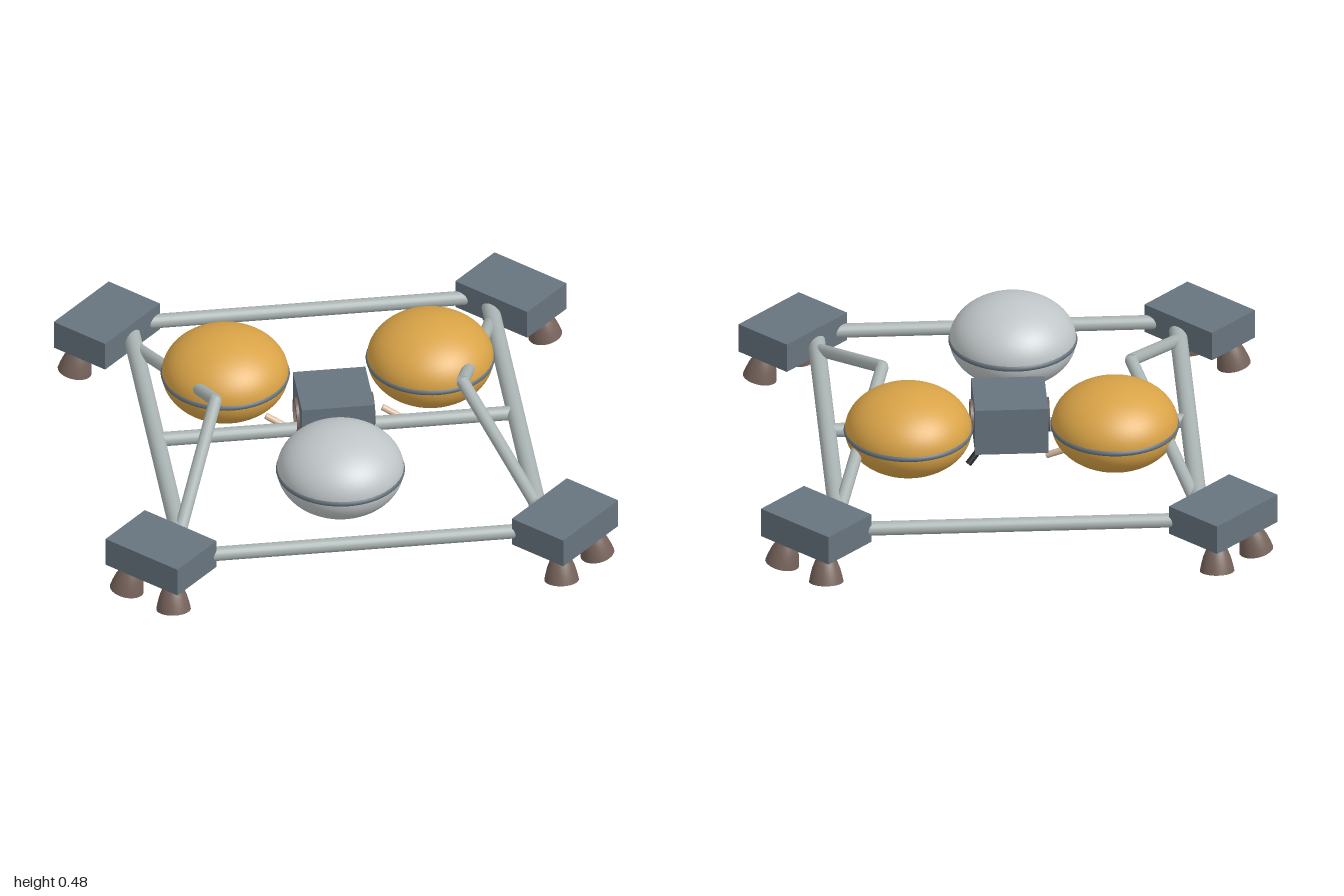
import * as THREE from 'three';

const mat = (name, color, side = THREE.FrontSide) => {
  const m = new THREE.MeshStandardMaterial({ color, side });
  m.name = name;
  return m;
};
const UP = new THREE.Vector3(0, 1, 0);

export function createModel() {
  const model = new THREE.Group();
  model.name = 'landerFrame';
  const slate = mat('slate', 0x67747e);
  const tube = mat('tubeGrey', 0xaab3b3);
  const silver = mat('silver', 0xc0c6c8);
  const gold = mat('gold', 0xd9a347);
  const brown = mat('nozzleBrown', 0x75625a, THREE.DoubleSide);
  const beige = mat('beige', 0xd8bca2);
  const black = mat('black', 0x26282a);

  const add = (name, geo, material, x = 0, y = 0, z = 0, parent = model) => {
    const mesh = new THREE.Mesh(geo, material);
    mesh.name = name;
    mesh.position.set(x, y, z);
    parent.add(mesh);
    return mesh;
  };
  // Round bar between two points
  const bar = (name, a, b, r, material) => {
    const p = new THREE.Vector3(...a), q = new THREE.Vector3(...b);
    const d = q.clone().sub(p);
    const mesh = add(name, new THREE.CylinderGeometry(r, r, d.length(), 20), material);
    mesh.position.copy(p).add(q).multiplyScalar(0.5);
    mesh.quaternion.setFromUnitVectors(UP, d.normalize());
  };
  // Engine bell: mouth at its origin, throat along the given axis
  const bellGeo = new THREE.LatheGeometry(
    [[0.067, 0], [0.062, 0.025], [0.054, 0.055], [0.042, 0.085], [0.03, 0.105], [0.026, 0.13]]
      .map(p => new THREE.Vector2(...p)), 28);
  const bell = (name, pos, axis) => {
    const mesh = add(name, bellGeo, brown, ...pos);
    mesh.quaternion.setFromUnitVectors(UP, new THREE.Vector3(...axis).normalize());
  };

  // Corner housings, each with two bells tilted outwards
  for (const sx of [-1, 1]) {
    for (const sz of [-1, 1]) {
      const box = add('cornerHousing', new THREE.BoxGeometry(0.35, 0.12, 0.25), slate,
        sx * 0.788, 0.19, sz * 0.788);
      box.rotation.y = sx * sz * Math.PI / 4;
      bell('sideNozzle', [sx * 0.918, 0.013, sz * 0.757], [-sx * 0.19, 1, 0]);
      bell('endNozzle', [sx * 0.757, 0.013, sz * 0.918], [0, 1, -sz * 0.19]);
    }
  }

  // Rectangular tube frame with a cross member
  for (const s of [-1, 1]) {
    bar('sideRail', [s * 0.7, 0.18, -0.75], [s * 0.7, 0.18, 0.75], 0.034, tube);
    bar('endRail', [-0.68, 0.18, s * 0.808], [0.68, 0.18, s * 0.808], 0.028, tube);
  }
  bar('crossRail', [-0.7, 0.18, 0], [0.7, 0.18, 0], 0.028, tube);

  // Bent struts rising from the side rails
  for (const s of [-1, 1]) {
    const elbow = [s * 0.482, 0.405, 0.088];
    bar('frontStrut', [s * 0.7, 0.18, 0.66], elbow, 0.025, tube);
    bar('rearStrut', elbow, [s * 0.7, 0.16, -0.68], 0.025, tube);
  }

  // Flattened tanks with a belt around the middle
  const tankGeo = new THREE.SphereGeometry(1, 48, 32).scale(0.246, 0.171, 0.246);
  const beltGeo = new THREE.TorusGeometry(0.235, 0.015, 12, 64).rotateX(Math.PI / 2);
  for (const [name, x, z, m] of [
    ['rightTank', -0.4, -0.24, gold], ['leftTank', 0.4, -0.24, gold], ['frontTank', -0.046, 0.472, silver],
  ]) {
    add(name, tankGeo, m, x, 0.305, z);
    add(name + 'Belt', beltGeo, slate, x, 0.303, z);
  }

  // Central equipment box with a bell set into each side
  add('equipmentBox', new THREE.BoxGeometry(0.283, 0.193, 0.267), slate, -0.005, 0.239, -0.03);
  for (const s of [-1, 1]) {
    bell('boxNozzle', [-0.005 + s * 0.153, 0.235, -0.02], [-s, 0, 0]);
  }

  // Short rods hanging underneath
  for (const [x, z] of [[-0.145, -0.1], [0.31, -0.1], [0.088, 0.29]]) {
    bar('lowerRod', [x - 0.11, 0.157, z - 0.04], [x, 0.1, z], 0.013, beige);
  }
  bar('darkRod', [0.11, 0.157, -0.125], [0.163, 0.097, -0.152], 0.013, black);

  return model;
}
